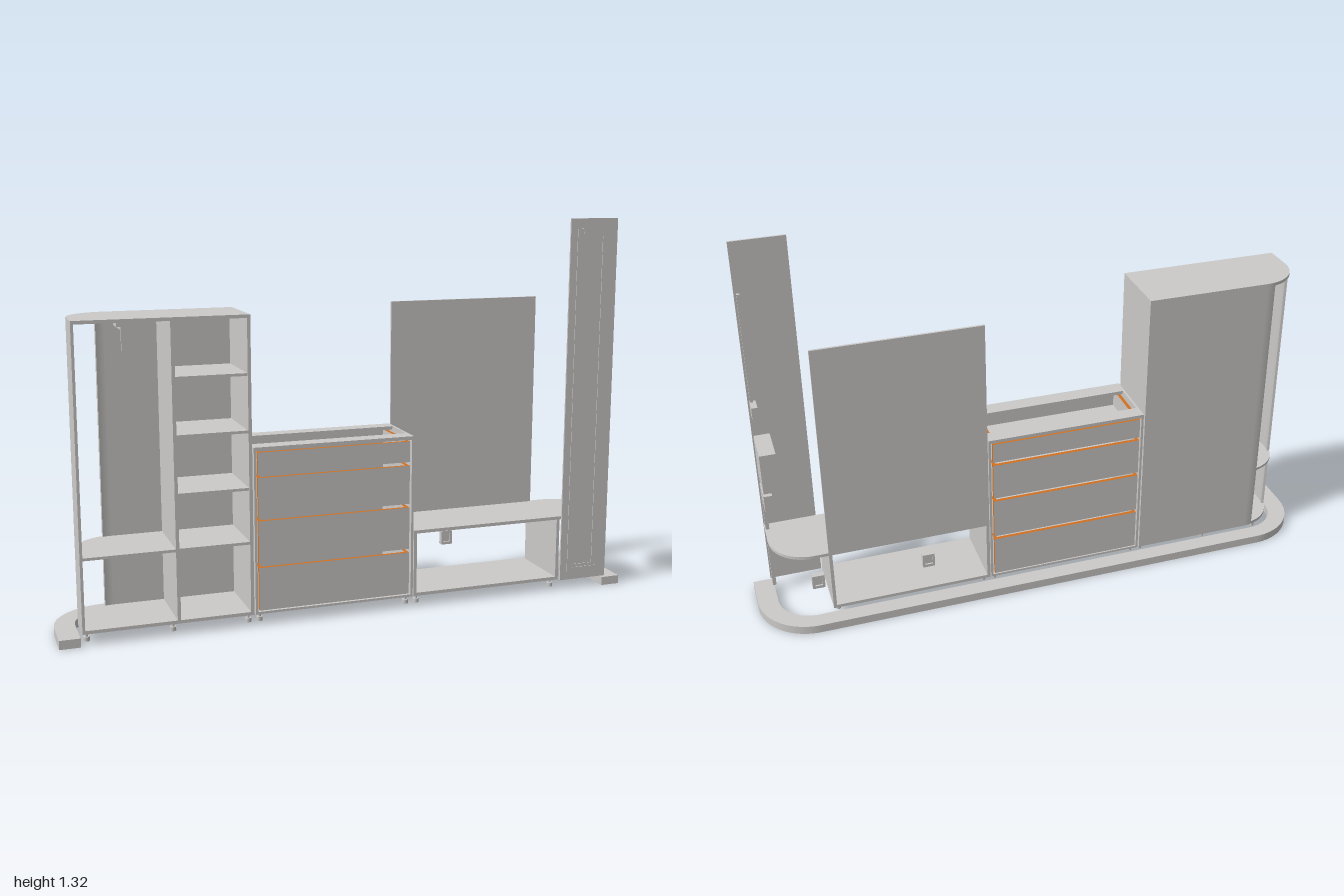
import * as THREE from 'three';

export function createModel() {
  const model = new THREE.Group();
  const grey = new THREE.MeshStandardMaterial({ color: 0xcccbc9 });
  grey.name = 'light grey';
  const orange = new THREE.MeshStandardMaterial({ color: 0xd2701e });
  orange.name = 'orange edge';
  const BACK = -0.092, FRONT = 0.142, T = 0.011, R = 0.135;

  const group = (name) => {
    const g = new THREE.Group();
    g.name = name;
    model.add(g);
    return g;
  };
  const add = (parent, name, geo, mat = grey) => {
    const m = new THREE.Mesh(geo, mat);
    m.name = name;
    parent.add(m);
    return m;
  };
  // box given by its limits on each axis
  const box = (parent, name, x0, x1, y0, y1, z0, z1, mat = grey) => {
    const m = add(parent, name, new THREE.BoxGeometry(x1 - x0, y1 - y0, z1 - z0), mat);
    m.position.set((x0 + x1) / 2, (y0 + y1) / 2, (z0 + z1) / 2);
    return m;
  };
  // plan outline (x, z) raised from y0 to y1
  const plan = (parent, name, shape, y0, y1) => {
    const geo = new THREE.ExtrudeGeometry(shape, { depth: y1 - y0, bevelEnabled: false, curveSegments: 14 });
    geo.rotateX(Math.PI / 2).translate(0, y1, 0);
    return add(parent, name, geo);
  };
  // board with one rounded back corner at x = end
  const roundedBoard = (end, other) => {
    const s = Math.sign(end), cx = end - s * R, cz = BACK + R;
    const p = new THREE.Shape().moveTo(other, FRONT).lineTo(other, BACK).lineTo(cx, BACK);
    p.absarc(cx, cz, R, -Math.PI / 2, s > 0 ? 0 : -Math.PI, s < 0);
    return p.lineTo(end, FRONT).closePath();
  };
  // curved wall strip
  const arcWall = (cx, cz, a0, a1) => {
    const p = new THREE.Shape().absarc(cx, cz, R, a0, a1, false);
    p.absarc(cx, cz, R - 0.009, a1, a0, true);
    return p.closePath();
  };
  const foot = (x, z, r = 0.008) => {
    const g = group('foot');
    add(g, 'footStem', new THREE.CylinderGeometry(r * 0.6, r * 0.6, 0.035, 10)).position.set(x, 0.025, z);
    add(g, 'footPad', new THREE.CylinderGeometry(r * 1.3, r * 1.3, 0.014, 12)).position.set(x, 0.016, z);
  };

  // U-shaped plinth rail, open at the front
  const rail = new THREE.Shape().moveTo(-1, 0.15).lineTo(-1, 0.03);
  rail.absarc(-0.813, 0.03, 0.187, Math.PI, Math.PI * 1.5, false);
  rail.absarc(0.813, 0.03, 0.187, -Math.PI / 2, 0, false);
  rail.lineTo(1, 0.15).lineTo(0.932, 0.15);
  rail.absarc(0.813, 0.02, 0.119, 0, -Math.PI / 2, true);
  rail.absarc(-0.813, 0.02, 0.119, Math.PI * 1.5, Math.PI, true);
  rail.lineTo(-0.932, 0.15).closePath();
  plan(model, 'plinthRail', rail, 0, 0.03);

  // Open wardrobe with rounded corner
  const wardrobe = group('wardrobe');
  const W0 = -0.925, W1 = -0.365, DIV = -0.615, H = 1.03;
  plan(wardrobe, 'wardrobeTop', roundedBoard(W0, W1), H - T, H);
  plan(wardrobe, 'wardrobeFloor', roundedBoard(W0, W1), 0.038, 0.049);
  plan(wardrobe, 'lowerShelf', roundedBoard(W0, DIV), 0.278, 0.287);
  box(wardrobe, 'rightEndPanel', W0, W0 + 0.009, 0.049, H - T, BACK + R, FRONT);
  plan(wardrobe, 'endPanelCurve', arcWall(W0 + R, BACK + R, Math.PI, Math.PI * 1.09), 0.049, H - T);
  box(wardrobe, 'backPanel', W0 + R, W1, 0.049, H - T, BACK, BACK + 0.009);
  plan(wardrobe, 'backPanelCurve', arcWall(W0 + R, BACK + R, Math.PI * 1.428, Math.PI * 1.5), 0.049, H - T);
  box(wardrobe, 'divider', DIV - T / 2, DIV + T / 2, 0.049, H - T, BACK + 0.009, FRONT);
  box(wardrobe, 'leftEndPanel', W1 - T, W1, 0.049, H - T, BACK + 0.009, FRONT);
  for (const y of [0.278, 0.459, 0.648, 0.834])
    box(wardrobe, 'shelf', DIV, W1 - T, y, y + 0.009, BACK + 0.009, FRONT - 0.004);
  // pull-out hanging rail
  box(wardrobe, 'hangerMount', -0.785, -0.752, 1.005, H - T, 0.09, 0.13);
  box(wardrobe, 'hangerRail', -0.772, -0.765, 0.995, 1.005, -0.01, 0.13);
  box(wardrobe, 'hangerHook', -0.771, -0.766, 0.93, 1.005, 0.122, 0.13);

  // Chest: carcass open in the middle of the top
  const chest = group('chest');
  const C0 = -0.36, C1 = 0.197;
  box(chest, 'chestSide', C0, C0 + 0.008, 0.038, 0.6, BACK, FRONT);
  box(chest, 'chestSide', C1 - 0.008, C1, 0.038, 0.6, BACK, FRONT);
  box(chest, 'chestFloor', C0 + 0.008, C1 - 0.008, 0.038, 0.046, BACK, FRONT);
  box(chest, 'topRailFront', C0 + 0.008, C1 - 0.008, 0.588, 0.6, 0.085, FRONT);
  box(chest, 'topRailBack', C0 + 0.008, C1 - 0.008, 0.588, 0.6, BACK, -0.04);

  // Drawers with orange board edges
  const boardEdges = [orange, orange, orange, orange, grey, grey];
  const sideEdges = [grey, grey, orange, orange, grey, grey];
  const D0 = -0.347, D1 = 0.182;
  for (const [y0, y1] of [[0.05, 0.196], [0.209, 0.354], [0.367, 0.499], [0.512, 0.583]]) {
    const drawer = new THREE.Group();
    drawer.name = 'drawer';
    chest.add(drawer);
    box(drawer, 'drawerFront', D0, D1, y0, y1, FRONT - 0.012, FRONT, boardEdges);
    box(drawer, 'drawerBack', D0, D1, y0, y1, BACK, BACK + 0.012, boardEdges);
    for (const x of [D0, D1 - 0.012])
      box(drawer, 'drawerSide', x, x + 0.012, y0, y1, BACK + 0.012, FRONT - 0.012, sideEdges);
    box(drawer, 'drawerBottom', D0 + 0.012, D1 - 0.012, y0 + 0.004, y0 + 0.01, BACK + 0.012, FRONT - 0.012);
  }

  // Bench with rounded corner and tall back panel
  const bench = group('bench');
  const B0 = 0.2, B1 = 0.757;
  plan(bench, 'benchTop', roundedBoard(0.94, B0), 0.26, 0.271);
  box(bench, 'benchFloor', B0, B1, 0.038, 0.049, BACK, FRONT);
  box(bench, 'benchSide', B0, B0 + T, 0.049, 0.26, BACK, FRONT);
  box(bench, 'benchDivider', B1 - T, B1, 0.049, 0.26, BACK, FRONT);
  box(bench, 'benchBackPanel', B0, B1, 0.271, H, BACK, BACK + 0.008);

  // Tall door with raised frame
  const door = group('tallDoor');
  box(door, 'doorPanel', 0.76, 0.94, 0.037, 1.315, 0.146, 0.152);
  const ring = (name, x0, x1, y0, y1, w, z1) => {
    box(door, name, x0, x0 + w, y0, y1, 0.152, z1);
    box(door, name, x1 - w, x1, y0, y1, 0.152, z1);
    box(door, name, x0 + w, x1 - w, y0, y0 + w, 0.152, z1);
    box(door, name, x0 + w, x1 - w, y1 - w, y1, 0.152, z1);
  };
  ring('doorFrame', 0.786, 0.909, 0.067, 1.28, 0.026, 0.1545);
  for (const y of [0.074, 1.262]) box(door, 'doorHandle', 0.808, 0.897, y, y + 0.008, 0.1545, 0.157);

  // Equipment behind the door
  const kit = group('utilityEquipment');
  box(kit, 'post', 0.925, 0.937, 0.032, 0.5, 0.108, 0.122);
  box(kit, 'largeBox', 0.885, 0.938, 0.5, 0.645, -0.022, 0.112);
  box(kit, 'smallBox', 0.91, 0.938, 0.41, 0.475, 0, 0.09);
  box(kit, 'rodBase', 0.92, 0.94, 0.755, 0.802, 0.015, 0.065);
  box(kit, 'rod', 0.928, 0.938, 0.802, 1.178, 0.055, 0.065);

  // Wall sockets: rim with recessed plate
  for (const x of [0.42, 0.8]) {
    const g = group('socket');
    const rim = new THREE.Shape().moveTo(-0.021, -0.025).lineTo(0.021, -0.025).lineTo(0.021, 0.025).lineTo(-0.021, 0.025);
    rim.holes.push(new THREE.Path().moveTo(-0.013, -0.015).lineTo(-0.013, 0.015).lineTo(0.013, 0.015).lineTo(0.013, -0.015));
    add(g, 'socketRim', new THREE.ExtrudeGeometry(rim, { depth: 0.02, bevelEnabled: false }));
    box(g, 'socketPlate', -0.013, 0.013, -0.015, 0.015, 0.006, 0.013);
    g.position.set(x, 0.165, -0.098);
  }

  // Feet in front and rear rows
  for (const x of [-0.91, -0.632, -0.38, -0.342, 0.178, 0.218, 0.737]) {
    foot(x, 0.118);
    foot(Math.max(x, -0.84), -0.058, 0.006);
  }
  return model;
}
